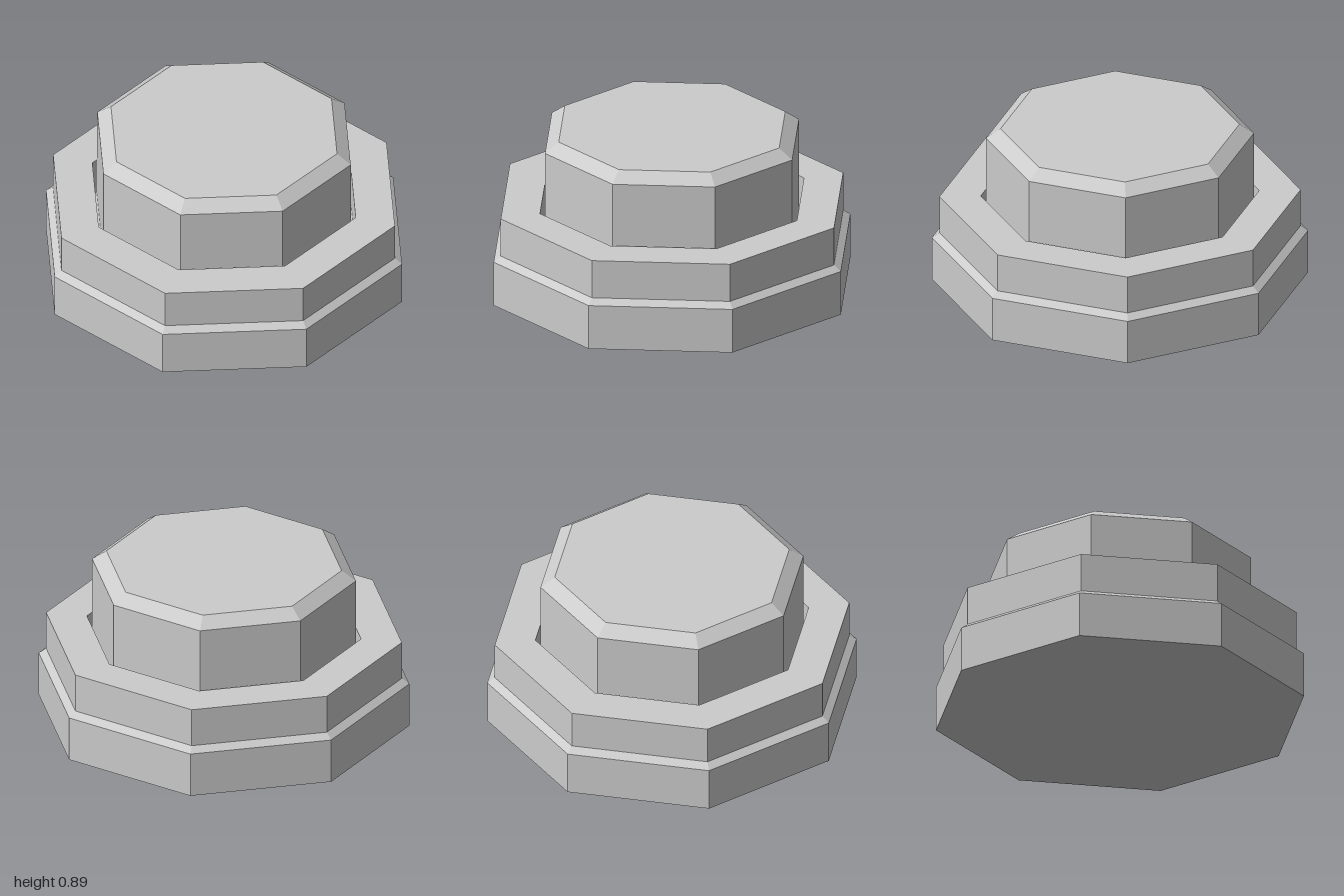
import * as THREE from 'three';

const SIDES = 8;

// Octagonal solid from a [radius, height] profile, listed bottom to top
function octagon(name, profile) {
  const points = profile.map(([r, y]) => new THREE.Vector2(r, y));
  const material = new THREE.MeshStandardMaterial({ color: 0xcccccc, flatShading: true });
  const mesh = new THREE.Mesh(new THREE.LatheGeometry(points, SIDES), material);
  mesh.name = name;
  return mesh;
}

export function createModel() {
  const model = new THREE.Group();
  model.name = 'pushButton';

  // Wide foot with a chamfered shoulder; its top closes the groove floor
  model.add(octagon('base', [[0, 0], [1, 0], [1, 0.25], [0.96, 0.28], [0, 0.28]]));

  // Upright collar, open in the middle
  model.add(octagon('collar', [[0.96, 0.28], [0.96, 0.495], [0.74, 0.495], [0.74, 0.28]]));

  // Chamfered cap, set in the collar with a narrow gap around it
  model.add(octagon('buttonCap', [[0.712, 0.28], [0.712, 0.84], [0.635, 0.895], [0, 0.895]]));

  return model;
}
